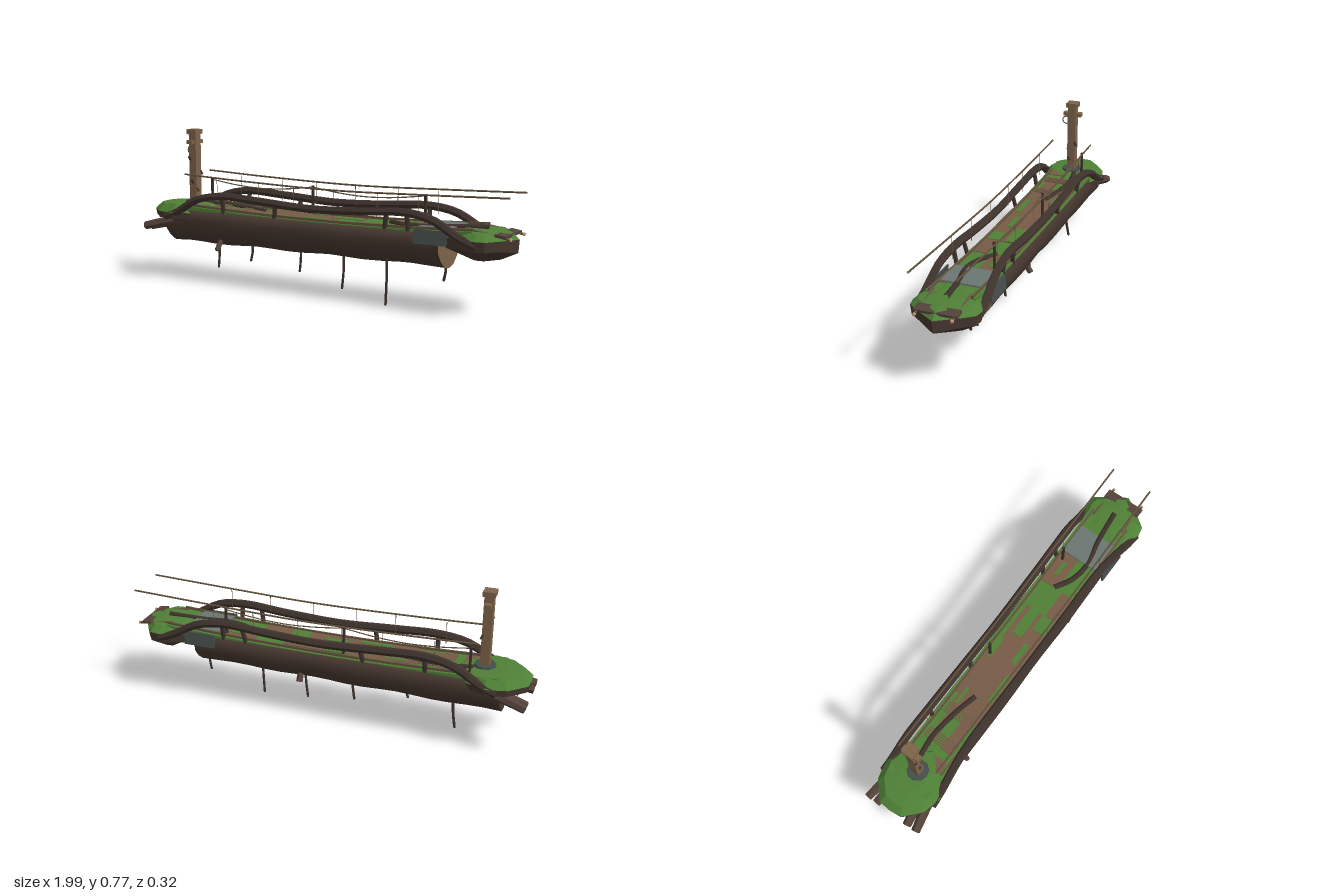
import * as THREE from 'three';

const mat = (name, color, side = THREE.FrontSide) => {
  const m = new THREE.MeshStandardMaterial({ color, side });
  m.name = name;
  return m;
};

export function createModel() {
  const M = {
    bark: mat('dark bark', 0x46372f),
    branch: mat('branch brown', 0x3e322c),
    root: mat('root brown', 0x54423a),
    cut: mat('cut wood', 0x7d634a),
    plank: mat('plank brown', 0x765b46),
    moss: mat('moss green', 0x4f8036),
    plate: mat('grey plate', 0x6b7671),
    iron: mat('dark iron', 0x454e4c),
    rope: mat('rope tan', 0x66553f),
    lamp: mat('pale end', 0xc9a578),
  };
  const model = new THREE.Group();
  const V = (p) => new THREE.Vector3(...p);
  const flat = (g) => {
    const f = g.index ? g.toNonIndexed() : g;
    f.computeVertexNormals();
    return f;
  };
  const add = (name, geo, material, pos = [0, 0, 0], rot = [0, 0, 0]) => {
    const m = new THREE.Mesh(geo, material);
    m.name = name;
    m.position.set(...pos);
    m.rotation.set(...rot);
    model.add(m);
    return m;
  };
  const box = (name, size, pos, material, rot) => add(name, new THREE.BoxGeometry(...size), material, pos, rot);
  // straight round bar between two points
  const bar = (name, a, b, r, material, sides = 6, rEnd = r) => {
    const p = V(a), q = V(b), d = q.clone().sub(p);
    const m = add(name, flat(new THREE.CylinderGeometry(rEnd, r, d.length(), sides)), material, p.clone().add(q).multiplyScalar(0.5).toArray());
    m.quaternion.setFromUnitVectors(new THREE.Vector3(0, 1, 0), d.normalize());
  };
  const tube = (name, pts, r, material, segs = 20, sides = 6) =>
    add(name, new THREE.TubeGeometry(new THREE.CatmullRomCurve3(pts.map(V)), segs, r, sides), material);
  // skin over equal rings, wound counterclockwise about the stacking direction
  const loft = (rings) => {
    const n = rings[0].length, idx = [];
    for (let i = 0; i < rings.length - 1; i++) for (let j = 0; j < n; j++) {
      const k = (j + 1) % n, a = i * n + j, b = i * n + k;
      idx.push(a, b, a + n, b, b + n, a + n);
    }
    const g = new THREE.BufferGeometry();
    g.setAttribute('position', new THREE.Float32BufferAttribute(rings.flat(2), 3));
    g.setIndex(idx);
    g.computeVertexNormals();
    return g;
  };
  const cap = (ring, flip) => {
    const r = flip ? [...ring].reverse() : ring, idx = [];
    for (let j = 1; j < r.length - 1; j++) idx.push(0, j, j + 1);
    const g = new THREE.BufferGeometry();
    g.setAttribute('position', new THREE.Float32BufferAttribute(r.flat(), 3));
    g.setIndex(idx);
    g.computeVertexNormals();
    return g;
  };

  // Log: lofted along x with a slightly uneven underside
  const half = [[0.366, 0.118], [0.32, 0.128], [0.275, 0.122], [0.235, 0.092], [0.2, 0.048]];
  const section = [...half, [0.19, 0], ...half.map(([y, z]) => [y, -z]).reverse()];
  const rings = [];
  for (let i = 0; i <= 18; i++) {
    const t = i / 18, x = -0.865 + 1.53 * t;
    const lift = 0.012 * (t - 0.45) + 0.004 * Math.sin(i * 1.3);
    rings.push(section.map(([y, z], j) => [x, y < 0.3 ? y + lift : y, z * (1 + 0.015 * Math.sin(i * 0.9 + j))]));
  }
  add('log', loft(rings), M.bark);
  add('logCutEnd', cap(rings[18]), M.cut);
  add('logRootEnd', cap(rings[0], true), M.bark);

  // Deck surface, sagging in the middle, with planks and moss patches
  const deckY = (x) => 0.368 + 0.022 * (x / 0.8) ** 2;
  const strip = (name, x0, x1, z0, z1, h, t, material) => {
    const g = new THREE.BoxGeometry(x1 - x0, t, z1 - z0, Math.max(1, Math.ceil((x1 - x0) / 0.1)), 1, 1);
    g.translate((x0 + x1) / 2, h - t / 2, (z0 + z1) / 2);
    const p = g.attributes.position;
    for (let i = 0; i < p.count; i++) p.setY(i, p.getY(i) + deckY(p.getX(i)));
    g.computeVertexNormals();
    return add(name, g, material);
  };
  strip('deckMoss', -0.85, 0.82, -0.116, 0.116, 0, 0.03, M.moss);
  [[-0.42, 0.21, -0.075, 0.1], [-0.62, -0.42, 0.02, 0.075], [-0.58, -0.42, -0.06, -0.03], [0.21, 0.36, 0.03, 0.095],
    [0.36, 0.55, -0.1, -0.005], [-0.35, -0.1, -0.1, -0.075], [0.55, 0.72, 0.06, 0.1], [-0.72, -0.66, 0.02, 0.09]]
    .forEach(([a, b, c, d]) => strip('deckPlank', a, b, c, d, 0.004, 0.006, M.plank));
  [[-0.3, -0.14, 0.06, 0.085], [0.05, 0.21, -0.05, 0.0], [-0.08, 0.04, 0.035, 0.06], [-0.4, -0.3, -0.06, -0.045],
    [0.12, 0.21, 0.02, 0.09], [0.42, 0.5, -0.06, -0.04], [-0.12, 0.0, -0.075, -0.06]]
    .forEach(([a, b, c, d]) => strip('mossPatch', a, b, c, d, 0.007, 0.006, M.moss));
  for (const x0 of [-0.61, -0.46]) for (let i = 0; i < 5; i++)
    box('slat', [0.006, 0.006, 0.17], [x0 + i * 0.012, deckY(x0) + 0.004, 0], M.plank);
  for (const s of [-1, 1]) strip('deckEdge', -0.72, 0.82, s * 0.1 - 0.004, s * 0.1 + 0.004, 0.012, 0.014, M.rope);
  const vine = (name, pts) => tube(name, pts.map(([x, z]) => [x, deckY(x) + 0.003, z]), 0.014, M.branch, 16).scale.set(1, 1, 1);
  vine('fallenBranch', [[-0.72, -0.03], [-0.6, -0.045], [-0.45, -0.03], [-0.32, 0.0]]);
  vine('fallenBranch', [[0.36, -0.02], [0.45, 0.03], [0.56, 0.045], [0.68, 0.02], [0.86, 0.0]]);

  // Earth banks: mossy crown over dark faceted sides
  const bank = (name, rim, cx, topY, rimY, low, keel) => {
    const full = [...rim, ...rim.slice(1, -1).map(([x, z]) => [x, -z]).reverse()];
    const ring = (k, y) => full.map(([x, z]) => [cx + (x - cx) * k, typeof y === 'function' ? y(x) : y, z * k]);
    const down = full[1][0] > full[0][0];
    const order = (r) => (down ? r : [...r].reverse());
    const R = [ring(0.5, keel), ring(0.97, low), ring(1, rimY), ring(0.8, topY - 0.008), ring(0.4, topY)].map(order);
    add(name + 'Side', flat(loft(R.slice(0, 3))), M.bark);
    add(name + 'Base', flat(cap(R[0], true)), M.bark);
    add(name + 'Moss', flat(loft(R.slice(2))), M.moss);
    add(name + 'Crown', flat(cap(R[4])), M.moss);
  };
  bank('rightBank', [[0.66, 0], [0.68, 0.1], [0.8, 0.145], [0.85, 0.158], [0.895, 0.15], [0.94, 0.09], [0.998, 0]],
    0.83, 0.392, 0.355, (x) => (x > 0.97 ? 0.295 : 0.308), (x) => (x < 0.8 ? 0.285 : 0.258));
  bank('leftBank', [[-0.985, 0], [-0.98, 0.06], [-0.9, 0.135], [-0.8, 0.16], [-0.7, 0.12], [-0.62, 0]],
    -0.8, 0.396, 0.352, 0.32, 0.3);

  // Roots fanning out of the log's left end
  [[-0.13, 0.275], [-0.085, 0.268], [0.085, 0.262], [0.135, 0.27], [0.02, 0.275]].forEach(([z, y], i) =>
    bar('root', [-0.82, y + 0.04, z * 0.8], [i === 4 ? -0.93 : -0.985, y, z * 1.05], 0.026, M.root, 6, 0.021));

  for (const s of [-1, 1]) {
    // Arched branch handrail with struts
    const rail = [[-0.85, 0.33, 0.142], [-0.78, 0.355, 0.14], [-0.66, 0.425, 0.134], [-0.52, 0.453, 0.126], [-0.3, 0.445, 0.125],
      [0, 0.43, 0.124], [0.28, 0.44, 0.125], [0.5, 0.453, 0.126], [0.64, 0.43, 0.134], [0.77, 0.36, 0.14], [0.85, 0.33, 0.142]]
      .map(([x, y, z]) => [x, y, z * s]);
    add('handrail', flat(new THREE.TubeGeometry(new THREE.CatmullRomCurve3(rail.map(V)), 40, 0.02, 6)), M.branch);
    [[-0.51, -0.51], [-0.21, -0.195], [0.39, 0.405], [0.51, 0.51]].forEach(([a, b]) =>
      bar('railStrut', [a, 0.36, s * 0.108], [b, 0.44, s * 0.122], 0.011, M.branch));
    // Long guide rope with thin hangers
    tube('guideRope', [[-0.75, 0.548, s * 0.107], [-0.4, 0.535, s * 0.107], [0.12, 0.525, s * 0.107], [0.55, 0.535, s * 0.107], [0.99, 0.549, s * 0.107]], 0.0045, M.rope, 24, 5);
    for (const x of [-0.55, -0.3, -0.1, 0.12, 0.35, 0.56])
      bar('hanger', [x, 0.42, s * 0.107], [x, 0.53, s * 0.107], 0.0015, M.rope, 4);
    // Landing poles on the right bank
    bar('landingPole', [0.8, 0.395, s * 0.085], [0.985, 0.366, s * 0.085], 0.006, M.rope);
    bar('poleEnd', [0.984, 0.366, s * 0.085], [0.992, 0.365, s * 0.085], 0.008, M.lamp);
    // Side plates of the repair band
    box('sidePlate', [0.16, 0.066, 0.008], [0.63, 0.352, s * 0.138], M.iron, [s * -0.12, 0, 0]);
  }
  box('topPlate', [0.165, 0.008, 0.2], [0.63, 0.388, 0], M.plate, [0, 0, 0.02]);
  box('landingBar', [0.05, 0.012, 0.2], [0.945, 0.377, 0], M.root, [0, 0, -0.15]);

  // Back row of small posts joined by a sagging line
  for (const x of [-0.71, -0.1, 0.51]) box('smallPost', [0.011, 0.15, 0.011], [x, 0.437, -0.073], M.branch);
  for (const x of [-0.71, -0.1])
    tube('saggingLine', [[x, 0.505, -0.073], [x + 0.15, 0.486, -0.073], [x + 0.305, 0.478, -0.073], [x + 0.46, 0.486, -0.073], [x + 0.61, 0.505, -0.073]], 0.003, M.rope, 16, 4);

  // Tall post with cap, crossbar, base collar and ring
  const px = -0.765;
  box('tallPost', [0.043, 0.36, 0.043], [px, 0.565, 0], M.cut);
  box('postCap', [0.058, 0.024, 0.058], [px, 0.757, 0], M.cut);
  box('crossbar', [0.03, 0.02, 0.096], [px, 0.705, 0], M.cut);
  add('postCollar', flat(new THREE.CylinderGeometry(0.05, 0.054, 0.014, 10)), M.iron, [px, 0.397, 0]);
  add('postRing', new THREE.TorusGeometry(0.02, 0.003, 5, 12), M.rope, [px, 0.668, 0.036], [0, Math.PI / 2, 0]);
  [[0.02, 0.46, 0.012], [0.02, 0.545, -0.022], [-0.015, 0.62, 0.022], [0.0, 0.5, 0.022]].forEach(([x, y, z]) =>
    box('barkKnot', [0.01, 0.024, 0.01], [px + x, y, z], M.branch, [0.5, 0, 0.3]));

  // Hanging roots and cut stubs beneath the log: top x, tip x, tip y, tip z
  [[-0.628, -0.645, 0.055, -0.028], [-0.37, -0.39, 0.128, 0.048], [-0.115, -0.13, 0.093, 0.004], [0.142, 0.125, 0.043, 0.032],
    [0.392, 0.38, 0.003, 0.072], [0.652, 0.636, 0.13, -0.01]].forEach(([a, b, y, z]) => {
    const top = 0.225, mid = (top + y) / 2;
    tube('hangingRoot', [[a, top, z + 0.013], [a - 0.003, mid, z + 0.009], [b, y, z]], 0.0065, M.branch, 8);
    add('rootTip', new THREE.SphereGeometry(0.0062, 6, 4), M.branch, [b, y + 0.001, z]);
  });
  bar('branchStub', [-0.55, 0.235, 0.07], [-0.55, 0.175, 0.115], 0.013, M.root);
  bar('branchStub', [0.12, 0.235, -0.07], [0.12, 0.19, -0.095], 0.016, M.root);
  return model;
}
